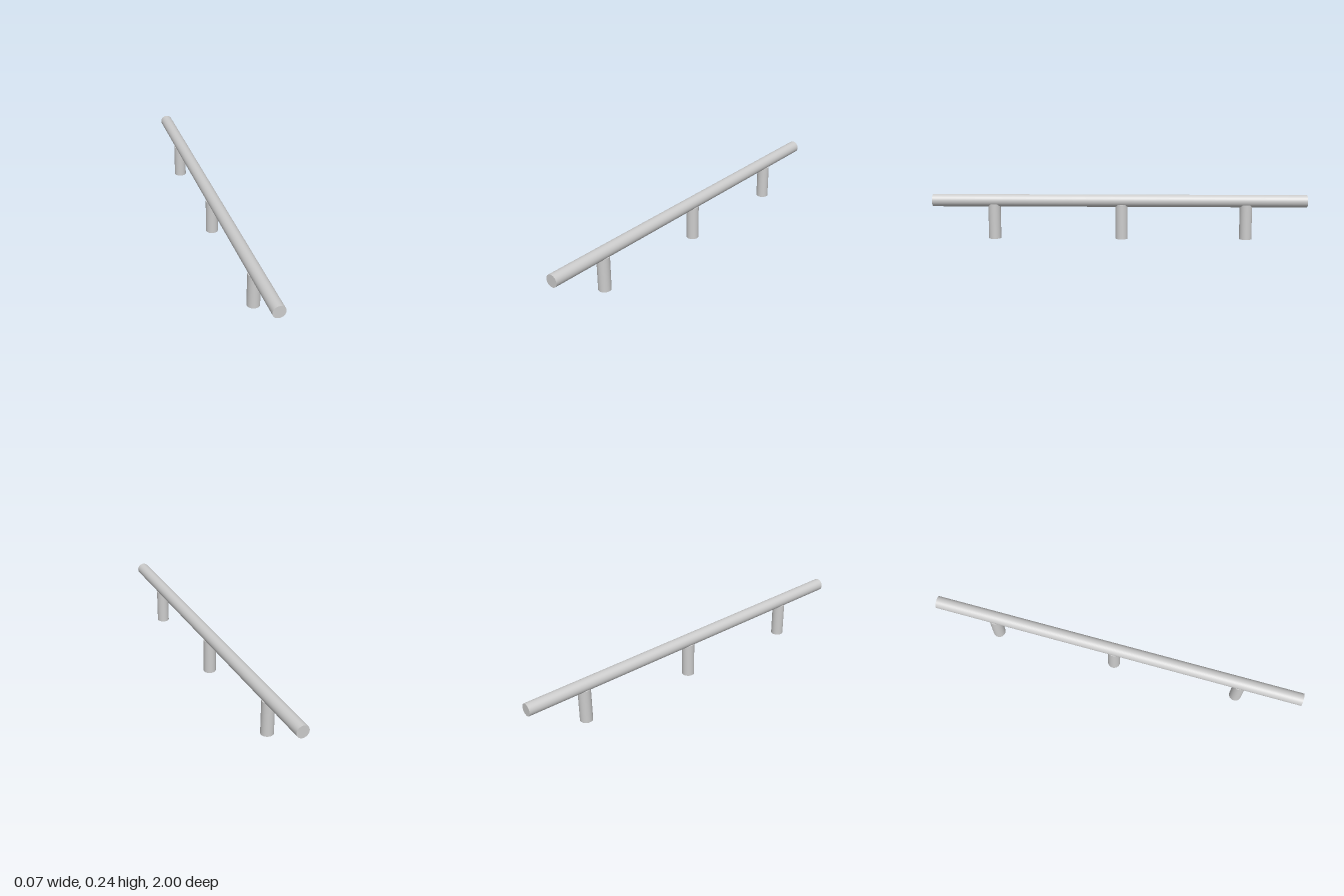
import * as THREE from 'three';

export function createModel() {
  const model = new THREE.Group();
  const material = new THREE.MeshStandardMaterial({ color: 0xcccccc });
  const radius = 0.033, postHeight = 0.185, railY = 0.205;

  // long round rail running front to back
  const rail = new THREE.Mesh(new THREE.CylinderGeometry(radius, radius, 2, 48), material);
  rail.name = 'rail';
  rail.rotation.x = Math.PI / 2;
  rail.position.y = railY;
  model.add(rail);

  // three round posts sunk into the underside of the rail
  const postGeometry = new THREE.CylinderGeometry(radius, radius, postHeight, 48);
  const posts = { frontPost: 0.67, middlePost: -0.013, backPost: -0.677 };
  for (const [name, z] of Object.entries(posts)) {
    const post = new THREE.Mesh(postGeometry, material);
    post.name = name;
    post.position.set(0, postHeight / 2, z);
    model.add(post);
  }
  return model;
}
